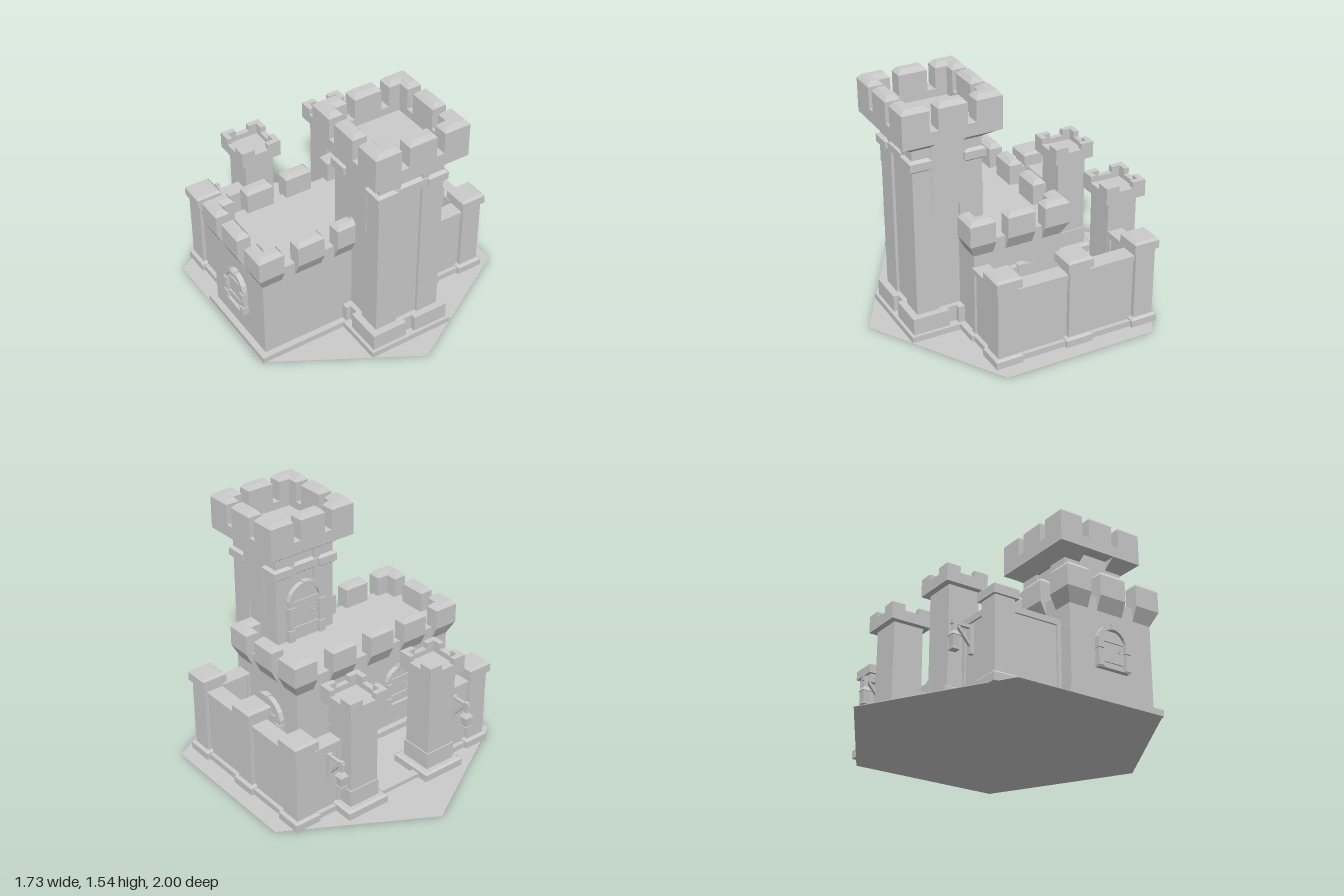
import * as THREE from 'three';

const mat = new THREE.MeshStandardMaterial({ color: 0xcccccc, flatShading: true });

export function createModel() {
  const root = new THREE.Group();
  root.name = 'castle';

  const group = (name, parent = root) => {
    const g = new THREE.Group();
    g.name = name;
    parent.add(g);
    return g;
  };
  const add = (parent, name, geo) => {
    const m = new THREE.Mesh(geo, mat);
    m.name = name;
    parent.add(m);
    return m;
  };
  // Block between a bottom rectangle b and a top rectangle t, each [x0, x1, z0, z1]
  const block = (parent, name, b, y0, y1, t = b) => {
    const geo = new THREE.BoxGeometry(1, 1, 1);
    const p = geo.attributes.position;
    for (let i = 0; i < p.count; i++) {
      const top = p.getY(i) > 0, r = top ? t : b;
      p.setXYZ(i, r[p.getX(i) < 0 ? 0 : 1], top ? y1 : y0, r[p.getZ(i) < 0 ? 2 : 3]);
    }
    geo.computeVertexNormals();
    return add(parent, name, geo);
  };
  const sq = (x, z, hx, hz = hx) => [x - hx, x + hx, z - hz, z + hz];
  const grow = (r, d) => [r[0] - d, r[1] + d, r[2] - d, r[3] + d];
  const within = (r, w) => [Math.max(r[0], w[0]), Math.min(r[1], w[1]), Math.max(r[2], w[2]), Math.min(r[3], w[3])];
  // Merlon with a chamfered top
  const merlon = (parent, r, y0, y1, bevel) => {
    block(parent, 'merlon', r, y0, y1 - bevel);
    block(parent, 'merlonTop', r, y1 - bevel, y1, grow(r, -bevel * 0.85));
  };
  // L-shaped corner merlons for a rectangle: two bars at every corner
  const cornerBars = (o, len, th) => {
    const bars = [];
    for (const i of [0, 1]) for (const j of [0, 1]) {
      const bar = (a, b) => [i ? o[1] - a : o[0], i ? o[1] : o[0] + a, j ? o[3] - b : o[2], j ? o[3] : o[2] + b];
      bars.push(bar(len, th), bar(th, len));
    }
    return bars;
  };

  // Hexagonal ground tile
  const tile = add(root, 'groundTile', new THREE.CylinderGeometry(1, 1, 0.004, 6));
  tile.position.y = 0.002;

  // Arched opening with plank door, stone frame and fittings, facing +z from its base centre
  const archShape = (w, h, rise) => {
    const s = new THREE.Shape();
    s.moveTo(-w / 2, 0);
    s.lineTo(w / 2, 0);
    s.lineTo(w / 2, h - rise);
    s.bezierCurveTo(w * 0.46, h - rise * 0.35, w * 0.25, h, 0, h);
    s.bezierCurveTo(-w * 0.25, h, -w * 0.46, h - rise * 0.35, -w / 2, h - rise);
    s.lineTo(-w / 2, 0);
    return s;
  };
  const door = (name, x, y, z, rotY, w, h) => {
    const g = group(name);
    g.position.set(x, y, z);
    g.rotation.y = rotY;
    const f = w * 0.12, rise = w * 0.4;
    const opt = (depth) => ({ depth, bevelEnabled: false, curveSegments: 4 });
    const frame = archShape(w, h, rise);
    frame.holes.push(archShape(w - 2 * f, h - f, rise * 0.8));
    add(g, 'stoneFrame', new THREE.ExtrudeGeometry(frame, opt(0.032)));
    add(g, 'doorLeaf', new THREE.ExtrudeGeometry(archShape(w - 2 * f, h - f, rise * 0.8), opt(0.012)));
    for (const k of [0.16, 0.62]) block(g, 'batten', [-w / 2 + f, w / 2 - f, 0, 0.02], h * k, h * (k + 0.07));
    for (const s of [-1, 1]) for (const k of [0.02, 0.42])
      block(g, 'frameStone', sq(s * (w / 2 - f / 2), 0.02, f * 0.7, 0.021), h * k, h * (k + 0.2));
    block(g, 'keystone', sq(0, 0.02, f * 0.7, 0.021), h - f * 1.15, h + 0.006);
    add(g, 'handle', new THREE.TorusGeometry(w * 0.05, w * 0.014, 5, 8)).position.set(w * 0.22, h * 0.46, 0.018);
  };

  // Keep
  const keep = group('keep');
  const kw = [-0.82, 0.4, -0.11, 0.475], ko = grow(kw, 0.04);
  block(keep, 'plinth', ko, 0, 0.042);
  block(keep, 'walls', kw, 0.03, 0.65);
  const th = 0.09;
  const keepMerlons = cornerBars(ko, 0.168, th);
  for (const x of [-0.6, -0.33, -0.03]) keepMerlons.push([x, x + 0.18, ko[2], ko[2] + th]);
  for (const x of [-0.6, -0.33]) keepMerlons.push([x, x + 0.18, ko[3] - th, ko[3]]);
  keepMerlons.push([ko[0], ko[0] + th, 0.085, 0.265], [ko[1] - th, ko[1], 0.085, 0.265]);
  for (const r of keepMerlons) {
    block(keep, 'corbel', within(r, kw), 0.565, 0.65, r);
    merlon(keep, r, 0.65, 0.81, 0.028);
  }
  door('keepLeftDoor', kw[0], 0.21, 0.175, -Math.PI / 2, 0.22, 0.27);
  door('keepRightDoor', kw[1], 0.042, 0.175, Math.PI / 2, 0.3, 0.4);
  door('keepBackDoorA', -0.41, 0.21, kw[2], Math.PI, 0.22, 0.27);
  door('keepBackDoorB', 0.05, 0.21, kw[2], Math.PI, 0.22, 0.27);

  // Great tower
  const tower = group('tower');
  const tz = 0.547, H = 0.223, P = 0.075;
  block(tower, 'plinth', sq(0, tz, 0.287), 0, 0.042);
  block(tower, 'footing', sq(0, tz, 0.235), 0.03, 0.15);
  block(tower, 'core', sq(0, tz, 0.205), 0.03, 1.3);
  const ring = (r) => {
    block(tower, 'ringLower', r, 1.1, 1.115, grow(r, 0.02));
    block(tower, 'ringMiddle', grow(r, 0.02), 1.115, 1.165);
    block(tower, 'ringUpper', grow(r, 0.02), 1.165, 1.18, r);
  };
  for (const sx of [-1, 1]) for (const sz of [-1, 1]) {
    const c = (H + P) / 2, hw = (H - P) / 2;
    block(tower, 'cornerFooting', sq(sx * c, tz + sz * c, hw + 0.044), 0.03, 0.15);
    block(tower, 'cornerPilaster', sq(sx * c, tz + sz * c, hw), 0.03, 1.3);
    const rc = (H + 0.125) / 2, rh = (H - 0.125) / 2;
    ring(sq(sx * rc, tz + sz * rc, rh));
  }
  ring(sq(0, tz, 0.12, 0.207));

  // Flat strip with a notched foot on both flanks
  const strip = new THREE.Shape();
  [[-0.103, 0.82], [0, 0.88], [0.103, 0.82], [0.103, 1.3], [-0.103, 1.3]].forEach(([a, b], i) => i ? strip.lineTo(a, b) : strip.moveTo(a, b));
  for (const s of [-1, 1]) {
    const m = add(tower, 'flankStrip', new THREE.ExtrudeGeometry(strip, { depth: 0.03, bevelEnabled: false }));
    m.rotation.y = s * Math.PI / 2;
    m.position.set(s * 0.198, 0, tz);
  }

  // Flared tower head, parapet and merlons
  const O = 0.315, T = 0.095, head = sq(0, tz, O);
  block(tower, 'flareFront', [-H, H, tz + 0.103, tz + H], 1.24, 1.305, [-O, O, tz + 0.103, tz + O]);
  block(tower, 'flareBack', [-H, H, tz - H, tz - 0.103], 1.24, 1.305, [-O, O, tz - O, tz - 0.103]);
  block(tower, 'headFloor', head, 1.3, 1.33);
  for (const s of [-1, 1]) {
    block(tower, 'parapet', sq(0, tz + s * (O - T / 2), O, T / 2), 1.33, 1.38);
    block(tower, 'parapet', sq(s * (O - T / 2), tz, T / 2, O), 1.33, 1.38);
    merlon(tower, sq(0, tz + s * (O - T / 2), 0.092, T / 2), 1.38, 1.54, 0.028);
    merlon(tower, sq(s * (O - T / 2), tz, T / 2, 0.092), 1.38, 1.54, 0.028);
  }
  for (const r of cornerBars(head, 0.17, T)) merlon(tower, r, 1.38, 1.54, 0.028);
  door('towerDoor', 0.01, 0.65, tz - H, Math.PI, 0.27, 0.4);

  // Courtyard walls: thin panel between a plinth, a coping and end piers
  const yard = group('courtyard');
  const wall = (r) => {
    const alongX = r[1] - r[0] > r[3] - r[2];
    const inset = (d) => alongX ? [r[0], r[1], r[2] + d, r[3] - d] : [r[0] + d, r[1] - d, r[2], r[3]];
    block(yard, 'wallPlinth', inset(-0.015), 0, 0.042);
    block(yard, 'wallPanel', inset(0.012), 0.03, 0.46);
    block(yard, 'wallCoping', r, 0.45, 0.488);
    const e = 0.035;
    const ends = alongX ? [[r[0], r[0] + e], [r[1] - e, r[1]]] : [[r[2], r[2] + e], [r[3] - e, r[3]]];
    for (const [a, b] of ends) block(yard, 'wallEnd', alongX ? [a, b, r[2], r[3]] : [r[0], r[1], a, b], 0.03, 0.46);
  };
  wall([0.62, 0.735, -0.045, 0.43]);
  wall([0.62, 0.735, -0.5, -0.045]);
  wall([0.39, 0.68, 0.375, 0.485]);
  wall([0.4, 0.68, -0.55, -0.445]);
  wall([-0.68, -0.39, -0.55, -0.445]);
  wall([-0.735, -0.62, -0.5, -0.1]);
  for (const [x, z] of [[0.683, 0.432], [0.683, -0.04], [0.683, -0.497], [-0.678, -0.497]]) {
    block(yard, 'pierBase', sq(x, z, 0.088), 0, 0.05);
    block(yard, 'pierBaseTop', sq(x, z, 0.088), 0.05, 0.062, sq(x, z, 0.076));
    block(yard, 'pier', sq(x, z, 0.067), 0.05, 0.53);
    block(yard, 'pierCap', sq(x, z, 0.084), 0.52, 0.575);
    block(yard, 'pierCapTop', sq(x, z, 0.084), 0.575, 0.59, sq(x, z, 0.07));
  }

  // Twin gate turrets
  for (const x of [-0.298, 0.31]) {
    const g = group('gateTurret'), z = -0.542, o = sq(x, z, 0.138);
    block(g, 'base', sq(x, z, 0.15), 0, 0.05);
    block(g, 'baseTop', sq(x, z, 0.15), 0.05, 0.06, sq(x, z, 0.135));
    block(g, 'foot', sq(x, z, 0.108), 0.05, 0.17);
    block(g, 'shaft', sq(x, z, 0.1), 0.05, 0.71);
    block(g, 'headFloor', o, 0.7, 0.735);
    for (const s of [-1, 1]) {
      block(g, 'parapet', sq(x, z + s * 0.12, 0.138, 0.018), 0.73, 0.77);
      block(g, 'parapet', sq(x + s * 0.12, z, 0.018, 0.138), 0.73, 0.77);
    }
    for (const r of cornerBars(o, 0.09, 0.036)) block(g, 'merlon', r, 0.77, 0.81);
  }
  block(root, 'threshold', [-0.16, 0.17, -0.62, -0.565], 0, 0.03);

  // Lanterns on wall brackets
  for (const x of [-0.493, 0.498]) {
    const g = group('lantern'), z = -0.663;
    block(g, 'wallPlate', sq(x, -0.553, 0.014, 0.012), 0.25, 0.43);
    block(g, 'arm', [x - 0.01, x + 0.01, -0.685, -0.54], 0.405, 0.425);
    const brace = block(g, 'brace', sq(0, 0, 0.009), -0.07, 0.07);
    brace.position.set(x, 0.35, -0.597);
    brace.rotation.x = -0.7;
    block(g, 'hook', sq(x, z, 0.012), 0.36, 0.435);
    block(g, 'lanternRoof', sq(x, z, 0.03), 0.335, 0.365, sq(x, z, 0.012));
    block(g, 'lanternBody', sq(x, z, 0.018), 0.265, 0.337, sq(x, z, 0.024));
    block(g, 'lanternFoot', sq(x, z, 0.024), 0.25, 0.267);
  }
  return root;
}
